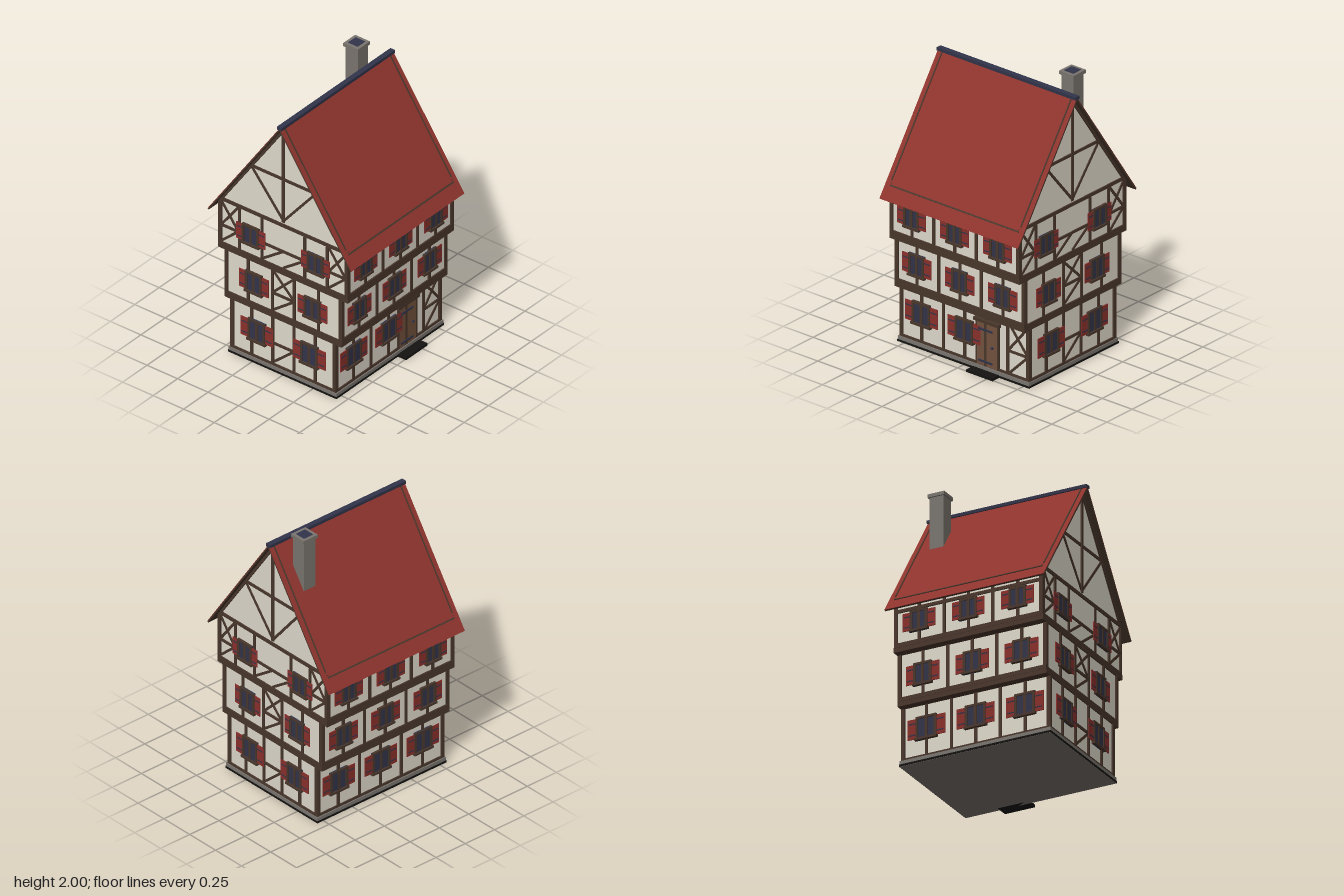
import * as THREE from 'three';

const mat = (name, color) => {
  const m = new THREE.MeshStandardMaterial({ color });
  m.name = name;
  return m;
};

export function createModel() {
  const plaster = mat('cream plaster', 0xe0dacc);
  const wood = mat('dark timber', 0x49372c);
  const red = mat('red tile', 0x8f342d);
  const shutterRed = mat('shutter red', 0x8a302b);
  const slate = mat('slate blue', 0x32344a);
  const stone = mat('grey stone', 0x7a756f);
  const oak = mat('door oak', 0x74523d);
  const black = mat('black plinth', 0x141312);

  const house = new THREE.Group();
  house.name = 'timberHouse';

  const box = (parent, name, m, w, h, d, x, y, z) => {
    const b = new THREE.Mesh(new THREE.BoxGeometry(w, h, d), m);
    b.name = name;
    b.position.set(x, y, z);
    parent.add(b);
    return b;
  };
  // timber running between two points on a wall face
  const beam = (g, u1, v1, u2, v2, t = 0.02, d = 0.018, name = 'timber') => {
    const b = box(g, name, wood, Math.hypot(u2 - u1, v2 - v1), t, d, (u1 + u2) / 2, (v1 + v2) / 2, 0);
    b.rotation.z = Math.atan2(v2 - v1, u2 - u1);
  };
  const brace = (g, u1, v1, u2, v2, d = 0.014) => beam(g, u1, v1, u2, v2, 0.017, d, 'brace');
  const cross = (g, u1, v1, u2, v2) => {
    brace(g, u1, v1, u2, v2);
    brace(g, u1, v2, u2, v1, 0.013);
  };

  // window with frame, sill, mullion and a pair of strapped shutters
  const windowAt = (g, u, v, w, h, s) => {
    const win = new THREE.Group();
    win.name = 'window';
    win.position.set(u, v, 0);
    g.add(win);
    box(win, 'glass', slate, w, h, 0.02, 0, 0, 0.001);
    box(win, 'mullion', wood, 0.02, h, 0.026, 0, 0, 0.002);
    for (const e of [-1, 1]) {
      box(win, 'frameSide', wood, 0.017, h, 0.028, e * (w / 2 - 0.0085), 0, 0.003);
      box(win, 'shutter', shutterRed, s, h - 0.025, 0.006, e * (w / 2 + s / 2), 0.002, 0.008);
      for (const k of [-1, 1])
        box(win, 'shutterStrap', slate, s * 0.85, 0.008, 0.003, e * (w / 2 + s * 0.425), k * h * 0.24, 0.0115);
    }
    box(win, 'frameTop', wood, w, 0.016, 0.029, 0, h / 2 - 0.008, 0.003);
    box(win, 'sill', wood, w + 0.012, 0.016, 0.04, 0, 0.008 - h / 2, 0.003);
  };

  const face = (name, angle, dist) => {
    const g = new THREE.Group();
    g.name = name;
    g.rotation.y = angle;
    g.position.set(Math.sin(angle) * dist, 0, Math.cos(angle) * dist);
    house.add(g);
    return g;
  };

  // plinth and doorstep
  box(house, 'plinth', stone, 1.1, 0.04, 0.885, 0, 0.02, 0);
  box(house, 'plinthEdge', black, 1.105, 0.014, 0.89, 0, 0.0085, 0);
  box(house, 'doorstep', black, 0.22, 0.018, 0.1, 0.19, 0.009, 0.46);

  const HX = 0.535;
  // storey heights, half depth, end posts, end windows (su, sw, ss), window size, rail height
  const floors = [
    { y0: 0.04, y1: 0.42, hz: 0.425, posts: [0.26, 0.087], su: 0.215, sw: 0.142, ss: 0.062, wv: 0.243, wh: 0.165, fw: 0.15, fs: 0.062, rail: 0.21 },
    { y0: 0.44, y1: 0.78, hz: 0.472, posts: [0.287, 0.09], su: 0.24, sw: 0.135, ss: 0.053, wv: 0.605, wh: 0.16, fw: 0.13, fs: 0.056, rail: 0.595 },
    { y0: 0.8, y1: 1.13, hz: 0.523, posts: [0.36, 0.176], su: 0.265, sw: 0.135, ss: 0.05, wv: 0.96, wh: 0.15, fw: 0.125, fs: 0.056, rail: 0.945 },
  ];

  floors.forEach((f, i) => {
    const { y0, y1, hz, rail } = f;
    box(house, 'storeyWall', plaster, HX * 2, y1 - y0, hz * 2, 0, (y0 + y1) / 2, 0);
    // jetty beams under the upper storeys
    if (i > 0) {
      box(house, 'jettyBeam', wood, 1.088, 0.035, hz * 2 + 0.016, 0, y0 - 0.0155, 0);
      for (const e of [-1, 1])
        box(house, 'sillBeam', wood, 1.084, 0.03, 0.02, 0, y0 + 0.013, e * hz);
    }

    // long faces
    for (const front of [true, false]) {
      const g = face(front ? 'frontFace' : 'backFace', front ? 0 : Math.PI, hz);
      for (const u of [-0.53, -0.36, -0.178, 0, 0.178, 0.36, 0.53])
        beam(g, u, y0, u, y1, Math.abs(u) > 0.5 ? 0.026 : 0.02);
      beam(g, -HX, y0 + 0.008, HX, y0 + 0.008, 0.016);
      if (i === 2) beam(g, -HX, 1.052, HX, 1.052, 0.022);
      const hasDoor = front && i === 0;
      for (const u of hasDoor ? [-0.36, 0] : [-0.36, 0, 0.36]) windowAt(g, u, f.wv, f.fw, f.wh, f.fs);
      if (hasDoor) {
        // door with lintel, hinges and knob
        box(g, 'door', oak, 0.185, 0.315, 0.02, 0.192, 0.2, 0);
        box(g, 'doorLintel', wood, 0.215, 0.022, 0.04, 0.193, 0.362, 0.004);
        for (const u of [0.102, 0.283]) box(g, 'doorJamb', wood, 0.013, 0.315, 0.02, u, 0.2, 0.0006);
        box(g, 'doorPost', wood, 0.02, 0.315, 0.004, 0.178, 0.2, 0.0102);
        for (const v of [0.3, 0.075]) box(g, 'doorHinge', slate, 0.12, 0.014, 0.006, 0.18, v, 0.014);
        box(g, 'doorKnob', slate, 0.014, 0.014, 0.014, 0.24, 0.19, 0.016);
        // braced corner bay
        beam(g, 0.36, 0.21, 0.53, 0.21, 0.016);
        cross(g, 0.37, 0.22, 0.52, 0.405);
        brace(g, 0.37, 0.05, 0.52, 0.2);
      }
    }

    // gable-end faces
    for (const s of [1, -1]) {
      const g = face(s > 0 ? 'rightFace' : 'leftFace', s * Math.PI / 2, HX);
      for (const e of [-1, 1]) {
        beam(g, e * (hz - 0.006), y0, e * (hz - 0.006), y1, 0.026);
        for (const p of f.posts) beam(g, e * p, y0, e * p, y1);
        windowAt(g, e * f.su, f.wv, f.sw, f.wh, f.ss);
      }
      beam(g, -hz, y0 + 0.008, hz, y0 + 0.008, 0.016);
      const c = f.posts[1];
      beam(g, -c, rail, c, rail, 0.018);
      if (i < 2) brace(g, -c, y0 + 0.02, c, rail);
      if (i === 1) cross(g, -c, rail, c, y1 - 0.01);
      if (i === 2) {
        beam(g, -hz, 1.145, hz, 1.145, 0.024);
        brace(g, -c, y0 + 0.02, 0, rail);
        brace(g, 0, y0 + 0.02, c, rail);
        for (const a of [-0.51, 0.37]) {
          beam(g, a, rail, a + 0.14, rail, 0.018);
          cross(g, a, rail, a + 0.14, 1.13);
          brace(g, a, y0 + 0.02, a + 0.14, rail);
        }
      }
    }
  });

  // attic prism
  const tri = new THREE.Shape([[-0.52, 1.13], [0.52, 1.13], [0, 1.888]].map(p => new THREE.Vector2(...p)));
  const attic = new THREE.Mesh(new THREE.ExtrudeGeometry(tri, { depth: HX * 2, bevelEnabled: false }), plaster);
  attic.name = 'atticGable';
  attic.rotation.y = Math.PI / 2;
  attic.position.x = -HX;
  house.add(attic);

  // gable framing
  for (const s of [1, -1]) {
    const g = face('gableFrame', s * Math.PI / 2, HX);
    beam(g, 0, 1.17, 0, 1.88, 0.022);
    beam(g, -0.268, 1.5, 0.268, 1.5, 0.02, 0.016);
    for (const e of [-1, 1]) {
      brace(g, 0, 1.18, e * 0.262, 1.495);
      beam(g, e * 0.51, 1.143, 0, 1.877, 0.02, 0.02, 'vergeRafter');
    }
  }

  // roof slopes: tiles on timber boarding, with thin timber strips
  const rise = 1.903 - 1.053, run = 0.585, len = Math.hypot(rise, run);
  for (const s of [1, -1]) {
    const slope = new THREE.Group();
    slope.name = 'roofSlope';
    slope.position.set(0, (1.903 + 1.053) / 2, s * run / 2);
    slope.rotation.x = s * Math.atan2(rise, run);
    house.add(slope);
    box(slope, 'roofBoarding', wood, 1.16, 0.009, len, 0, -0.0015, 0);
    box(slope, 'roofTiles', red, 1.16, 0.003, len, 0, 0.0045, 0);
    for (const e of [-1, 1])
      box(slope, 'vergeStrip', wood, 0.009, 0.006, len * 0.86, e * 0.541, 0.007, -s * len * 0.062);
    box(slope, 'eaveStrip', wood, 1.08, 0.006, 0.011, 0, 0.007, s * len * 0.4);
  }
  box(house, 'ridgeCap', slate, 1.165, 0.022, 0.038, 0, 1.91, 0);

  // chimney
  box(house, 'chimneyStack', stone, 0.102, 0.42, 0.102, 0.408, 1.77, -0.157);
  box(house, 'chimneyCap', stone, 0.122, 0.024, 0.122, 0.408, 1.987, -0.157);
  box(house, 'chimneyOpening', slate, 0.078, 0.003, 0.078, 0.408, 1.9995, -0.157);

  return house;
}
